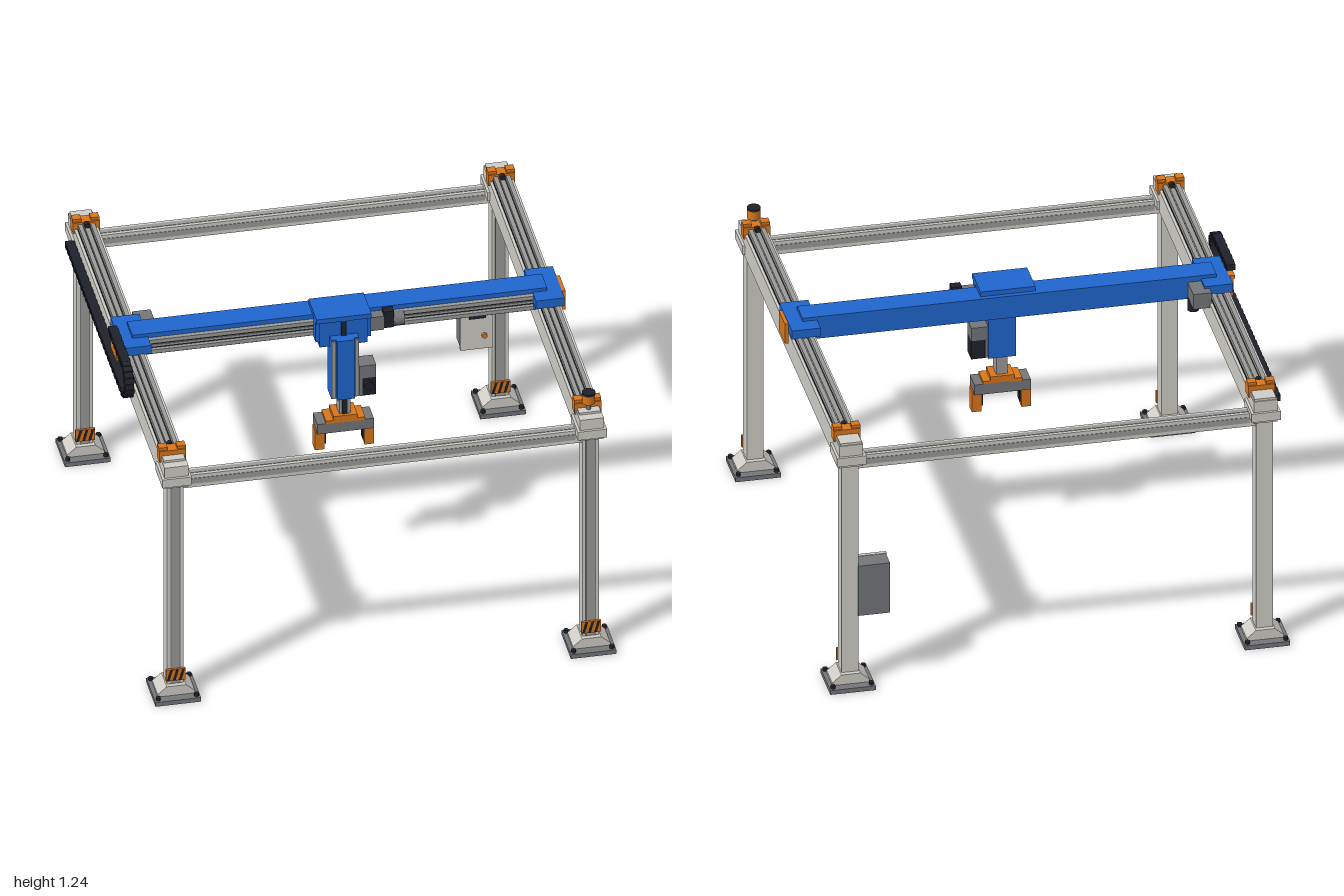
import * as THREE from 'three';

const mat = (name, color) => {
  const m = new THREE.MeshStandardMaterial({ color });
  m.name = name;
  return m;
};

export function createModel() {
  const root = new THREE.Group();
  root.name = 'gantryRobot';
  const light = mat('light grey paint', 0xcfcdc6);
  const rail = mat('rail steel', 0x9a9a98);
  const grey = mat('dark grey metal', 0x74767a);
  const blue = mat('blue paint', 0x1f66cf);
  const orange = mat('orange paint', 0xd9761c);
  const black = mat('black plastic', 0x20222b);

  const add = (name, geo, m, parent = root) => {
    const mesh = new THREE.Mesh(geo, m);
    mesh.name = name;
    parent.add(mesh);
    return mesh;
  };
  // Box given by its low and high limits on each axis
  const box = (name, m, x0, x1, y0, y1, z0, z1, parent) => {
    const b = add(name, new THREE.BoxGeometry(x1 - x0, y1 - y0, z1 - z0), m, parent);
    b.position.set((x0 + x1) / 2, (y0 + y1) / 2, (z0 + z1) / 2);
    return b;
  };
  const cyl = (name, m, r, h, x, y, z, axis = 'y', parent = root) => {
    const g = new THREE.CylinderGeometry(r, r, h, 20);
    if (axis === 'x') g.rotateZ(Math.PI / 2);
    if (axis === 'z') g.rotateX(Math.PI / 2);
    const c = add(name, g, m, parent);
    c.position.set(x, y, z);
    return c;
  };
  // Flat outline extruded along z and centred there
  const prism = (name, m, pts, depth, parent) => {
    const s = new THREE.Shape(pts.map(p => new THREE.Vector2(p[0], p[1])));
    const g = new THREE.ExtrudeGeometry(s, { depth, bevelEnabled: false });
    g.translate(0, 0, -depth / 2);
    return add(name, g, m, parent);
  };

  const LX = 0.867, LZ = 0.906;

  // Legs with feet, hazard plates and corner joints
  for (const sx of [-1, 1]) for (const sz of [-1, 1]) {
    const leg = new THREE.Group();
    leg.name = 'leg';
    leg.position.set(sx * LX, 0, sz * LZ);
    root.add(leg);
    box('basePlate', grey, -0.095, 0.095, 0, 0.02, -0.094, 0.094, leg);
    prism('footCollar', light, [[-0.078, 0.02], [0.078, 0.02], [0.078, 0.032], [0.04, 0.065],
      [-0.04, 0.065], [-0.078, 0.032]], 0.11, leg);
    for (const bx of [-1, 1]) for (const bz of [-1, 1])
      cyl('anchorBolt', black, 0.01, 0.014, bx * 0.08, 0.026, bz * 0.076, 'y', leg);
    box('column', light, -0.035, 0.035, 0.02, 1.05, -0.035, 0.035, leg);
    box('columnGroove', rail, -0.019, 0.019, 0.066, 1.03, 0.035, 0.037, leg);
    for (const gx of [-0.019, 0.019])
      box('grooveEdge', grey, gx - 0.002, gx + 0.002, 0.066, 1.03, 0.035, 0.038, leg);
    box('hazardPlate', orange, -0.041, 0.041, 0.085, 0.14, 0.035, 0.046, leg);
    for (const hx of [-0.025, 0, 0.025]) {
      const stripe = prism('hazardStripe', black, [[hx - 0.012, 0.087], [hx - 0.002, 0.087],
        [hx + 0.012, 0.138], [hx + 0.002, 0.138]], 0.003, leg);
      stripe.position.z = 0.047;
    }
    box('cornerJoint', light, -0.061, 0.061, 1.05, 1.09, -0.07, 0.07, leg);
    box('cornerCap', light, -0.045, 0.045, 1.14, 1.15, -0.055, 0.02, leg);
    // Brace under the side beam
    const brace = prism('cornerBrace', light, [[0.03, 1.045], [0.03, 1.005], [0.045, 1.005],
      [0.125, 1.035], [0.125, 1.045]], 0.05, leg);
    brace.rotation.y = sz * Math.PI / 2;
    // Travel end stop
    const z0 = sz * -0.042;
    box('endStop', orange, -0.056, 0.056, 1.12, 1.172, z0 - 0.025, z0 + 0.025, leg);
    for (const bx of [-0.038, 0.038])
      box('endStopBlock', orange, bx - 0.018, bx + 0.018, 1.172, 1.185, z0 - 0.018, z0 + 0.018, leg);
    cyl('bumper', black, 0.012, 0.022, 0, 1.165, z0 - sz * 0.035, 'z', leg);
  }

  // Side beams with rails and rack
  for (const s of [-1, 1]) {
    const x = s * LX;
    box('sideBeam', light, x - 0.05, x + 0.05, 1.038, 1.14, -0.965, 0.965);
    box('railBed', black, x - 0.038, x + 0.038, 1.14, 1.145, -0.86, 0.86);
    for (const o of [-0.026, 0.026])
      box('travelRail', rail, x + o - 0.009, x + o + 0.009, 1.145, 1.163, -0.86, 0.86);
    box('rack', rail, x - 0.01, x + 0.01, 1.145, 1.156, -0.86, 0.86);
  }

  // Front and back cross beams with slots
  for (const s of [-1, 1]) {
    const z = s * LZ;
    box('crossBeam', light, -0.835, 0.835, 1.01, 1.07, z - 0.027, z + 0.027);
    box('crossBeamTopSlot', rail, -0.805, 0.805, 1.07, 1.072, z - 0.012, z + 0.012);
    for (const f of [-1, 1]) {
      const fz = z + f * 0.027;
      box('crossBeamSideSlot', rail, -0.805, 0.805, 1.027, 1.053, fz - 0.002, fz + 0.002);
    }
  }

  // Signal lamp
  cyl('lampStem', grey, 0.01, 0.05, LX, 1.165, 0.9);
  cyl('lampBody', orange, 0.027, 0.04, LX, 1.202, 0.9);
  cyl('lampCap', black, 0.028, 0.01, LX, 1.227, 0.9);

  // Travelling bridge
  const bridge = new THREE.Group();
  bridge.name = 'bridge';
  root.add(bridge);
  box('bridgeBeam', blue, -0.868, 0.864, 1.113, 1.215, -0.02, 0.085, bridge);
  for (const s of [-1, 1]) {
    const x = s * 0.863;
    box('endCarriage', blue, x - 0.06, x + 0.06, 1.16, 1.2, -0.088, 0.152, bridge);
    box('endPlate', orange, s * 0.93 - 0.008, s * 0.93 + 0.008, 1.105, 1.197, -0.02, 0.095, bridge);
  }
  for (const y of [1.185, 1.136])
    box('bridgeRail', rail, -0.805, 0.805, y - 0.009, y + 0.009, 0.085, 0.105, bridge);
  box('bridgeRack', black, -0.805, 0.805, 1.148, 1.174, 0.085, 0.093, bridge);
  box('bridgeRackTeeth', rail, -0.805, 0.805, 1.156, 1.165, 0.093, 0.097, bridge);

  // Bridge drive motor
  box('bridgeGearbox', grey, -0.825, -0.748, 1.12, 1.19, -0.125, -0.02, bridge);
  cyl('bridgeMotor', black, 0.024, 0.05, -0.765, 1.1, -0.045, 'y', bridge);

  // Cross carriage
  const trolley = new THREE.Group();
  trolley.name = 'trolley';
  root.add(trolley);
  box('trolleyTop', blue, -0.115, 0.115, 1.215, 1.237, 0.0, 0.16, trolley);
  box('trolleyPlate', blue, -0.1, 0.1, 1.095, 1.22, 0.105, 0.152, trolley);
  for (const s of [-1, 1])
    box('trolleyCheek', blue, s * 0.105 - 0.01, s * 0.105 + 0.01, 1.118, 1.22, 0.105, 0.145, trolley);
  box('trolleyGearbox', grey, 0.1, 0.172, 1.135, 1.2, 0.088, 0.135, trolley);
  box('trolleyMotor', black, 0.172, 0.215, 1.14, 1.218, 0.095, 0.132, trolley);
  cyl('trolleyMotorEnd', grey, 0.03, 0.045, 0.237, 1.168, 0.108, 'x', trolley);

  // Vertical column
  box('liftColumn', blue, -0.058, 0.058, 0.858, 1.145, 0.108, 0.185, trolley);
  for (const s of [-1, 1])
    box('liftRail', rail, s * 0.049 - 0.008, s * 0.049 + 0.008, 0.862, 1.14, 0.185, 0.192, trolley);
  box('liftCover', blue, -0.037, 0.037, 0.858, 1.145, 0.185, 0.2, trolley);
  box('liftSlot', black, -0.011, 0.011, 1.14, 1.215, 0.152, 0.16, trolley);
  box('liftGearbox', grey, 0.058, 0.128, 0.945, 1.005, 0.115, 0.19, trolley);
  box('liftMotorMount', grey, 0.058, 0.07, 0.86, 0.945, 0.115, 0.19, trolley);
  box('liftMotor', black, 0.07, 0.128, 0.858, 0.945, 0.118, 0.186, trolley);
  cyl('liftMotorCap', black, 0.02, 0.02, 0.097, 0.91, 0.192, 'z', trolley);

  // Lifting ram
  box('ram', rail, -0.023, 0.023, 0.77, 0.86, 0.118, 0.177, trolley);
  box('ramStrip', black, -0.011, 0.011, 0.775, 0.86, 0.177, 0.18, trolley);

  // Gripper
  const gripper = new THREE.Group();
  gripper.name = 'gripper';
  root.add(gripper);
  box('gripperFlange', orange, -0.05, 0.05, 0.755, 0.775, 0.102, 0.192, gripper);
  box('gripperPlate', orange, -0.082, 0.082, 0.742, 0.757, 0.102, 0.192, gripper);
  box('gripperBody', grey, -0.118, 0.118, 0.697, 0.745, 0.102, 0.192, gripper);
  box('gripperGuide', black, -0.085, 0.085, 0.687, 0.697, 0.13, 0.165, gripper);
  for (const s of [-1, 1]) {
    box('finger', orange, s * 0.104 - 0.02, s * 0.104 + 0.02, 0.607, 0.705, 0.123, 0.171, gripper);
    box('fingerPad', black, s * 0.081 - 0.004, s * 0.081 + 0.004, 0.63, 0.685, 0.128, 0.166, gripper);
  }

  // Cable chain: low run, turn and high run, as a band of links
  const chain = new THREE.Group();
  chain.name = 'cableChain';
  root.add(chain);
  const path = new THREE.CurvePath();
  const v = (y, z) => new THREE.Vector3(-0.937, y, z);
  const k = 0.552 * 0.07;
  path.add(new THREE.LineCurve3(v(1.075, -0.84), v(1.075, 0.28)));
  path.add(new THREE.CubicBezierCurve3(v(1.075, 0.28), v(1.075, 0.28 + k), v(1.145 - k, 0.35), v(1.145, 0.35)));
  path.add(new THREE.CubicBezierCurve3(v(1.145, 0.35), v(1.145 + k, 0.35), v(1.215, 0.28 + k), v(1.215, 0.28)));
  path.add(new THREE.LineCurve3(v(1.215, 0.28), v(1.215, 0.02)));
  const n = 72, step = path.getLength() / n;
  const linkGeo = new THREE.BoxGeometry(0.04, 0.027, step * 1.08);
  for (let i = 0; i < n; i++) {
    const t = (i + 0.5) / n, d = path.getTangentAt(t);
    const link = add('chainLink', linkGeo, black, chain);
    link.position.copy(path.getPointAt(t));
    link.rotation.x = Math.atan2(-d.y, d.z);
    if (i % 2) link.scale.x = 0.9;
  }
  box('chainArm', orange, -0.945, -0.92, 1.185, 1.2, -0.02, 0.03, chain);

  // Control cabinet
  const cabinet = new THREE.Group();
  cabinet.name = 'controlCabinet';
  root.add(cabinet);
  box('cabinetBody', grey, 0.7, 0.833, 0.325, 0.558, -0.945, -0.865, cabinet);
  box('cabinetDoor', light, 0.697, 0.833, 0.322, 0.56, -0.865, -0.849, cabinet);
  box('cabinetScreen', black, 0.733, 0.802, 0.472, 0.514, -0.849, -0.844, cabinet);
  cyl('cabinetButton', orange, 0.011, 0.014, 0.796, 0.388, -0.844, 'z', cabinet);

  return root;
}
